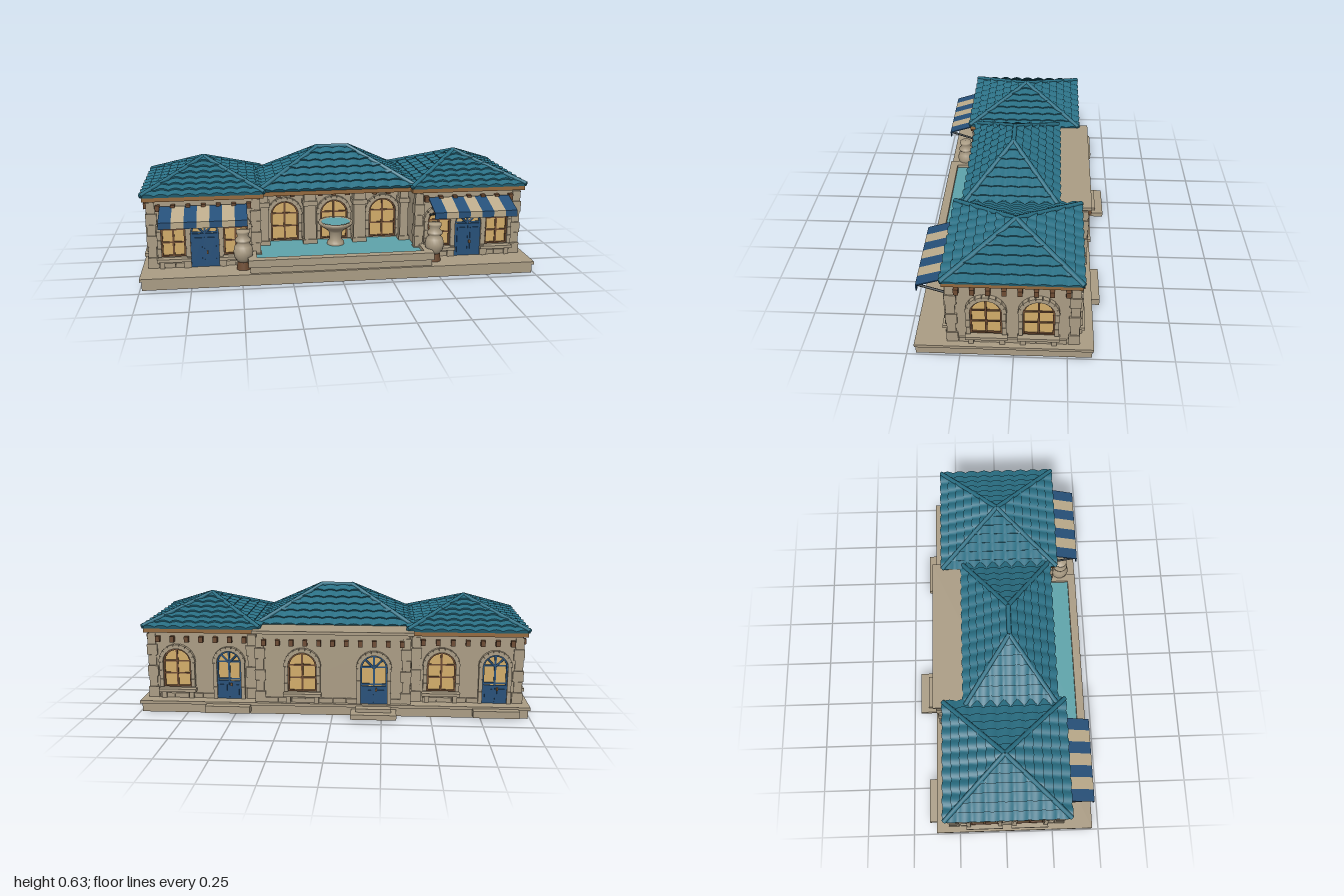
import * as THREE from 'three';

const mat = (name, color, side = THREE.FrontSide) => {
  const m = new THREE.MeshStandardMaterial({ color, side });
  m.name = name;
  return m;
};
const stone = mat('stone', 0xaa9c84), tile = mat('roofTile', 0x2a7085, THREE.DoubleSide);
const water = mat('water', 0x5ea3aa), blue = mat('bluePaint', 0x265079);
const cream = mat('creamCloth', 0xbcab8b), glass = mat('warmGlass', 0xd2ac69);
const wood = mat('darkWood', 0x6d4b32), trim = mat('trimWood', 0x94693d);
const iron = mat('iron', 0x2b3337);

const V = (x, y, z) => new THREE.Vector3(x, y, z);

function add(parent, name, geo, material, x = 0, y = 0, z = 0) {
  const m = new THREE.Mesh(geo, material);
  m.name = name;
  m.position.set(x, y, z);
  parent.add(m);
  return m;
}
// Box given by its limits on each axis
function box(parent, name, material, x0, x1, y0, y1, z0, z1) {
  return add(parent, name, new THREE.BoxGeometry(x1 - x0, y1 - y0, z1 - z0), material,
    (x0 + x1) / 2, (y0 + y1) / 2, (z0 + z1) / 2);
}
function group(parent, name) {
  const g = new THREE.Group();
  g.name = name;
  parent.add(g);
  return g;
}
// Round bar between two points
function bar(parent, name, material, p, q, r) {
  const d = q.clone().sub(p);
  const m = add(parent, name, new THREE.CylinderGeometry(r, r, d.length(), 8), material);
  m.position.copy(p).add(q).multiplyScalar(0.5);
  m.quaternion.setFromUnitVectors(V(0, 1, 0), d.normalize());
}
function archShape(w, y0, top) {
  const r = w / 2, s = new THREE.Shape();
  s.moveTo(-r, y0).lineTo(r, y0).lineTo(r, top - r);
  s.absarc(0, top - r, r, 0, Math.PI, false);
  return s.closePath();
}
const plate = (shape, depth) => new THREE.ExtrudeGeometry(shape, { depth, bevelEnabled: false, curveSegments: 10 });

// Arched window or door with a voussoir surround, facing +z
function opening(parent, { x, w = 0.145, y0 = 0.12, top = 0.325, door = '' }) {
  const g = group(parent, door ? 'door' : 'window');
  g.position.x = x;
  const r = w / 2, spring = top - r, paint = door ? blue : wood;
  add(g, 'pane', plate(archShape(w, y0, top), 0.004), glass);
  const rim = archShape(w, y0, top);
  rim.holes.push(archShape(w - 0.016, y0 + 0.008, top - 0.008));
  add(g, 'frame', plate(rim, 0.012), paint);
  box(g, 'mullion', paint, -0.005, 0.005, y0, top, 0, 0.01);
  for (const y of [y0 + (spring - y0) * 0.55, spring + 0.006]) box(g, 'glazingBar', paint, -r, r, y - 0.004, y + 0.004, 0, 0.009);
  if (door) {
    const leafTop = door === 'solid' ? spring : y0 + (spring - y0) * 0.5;
    for (const s of [-1, 1]) {
      box(g, 'leaf', blue, s > 0 ? 0.002 : -r, s > 0 ? r : -0.002, y0, leafTop, 0, 0.012);
      box(g, 'leafPanel', blue, s * r / 2 - r * 0.3, s * r / 2 + r * 0.3, y0 + 0.02, leafTop - 0.02, 0.01, 0.017);
      bar(g, 'fanSpoke', blue, V(0, spring, 0.006), V(s * r * 0.7, spring + r * 0.7, 0.006), 0.005);
    }
    box(g, 'handle', trim, 0.008, 0.016, y0 + 0.07, y0 + 0.085, 0.012, 0.024);
  } else {
    // Sill on two brackets
    box(g, 'sill', stone, -r - 0.025, r + 0.025, y0 - 0.024, y0 - 0.008, 0, 0.035);
    for (const s of [-1, 1]) box(g, 'sillBracket', stone, s * r - 0.012, s * r + 0.012, 0.06, y0 - 0.02, 0, 0.022);
  }
  // Jamb stones and arch stones
  for (const s of [-1, 1]) for (let i = 0; i < 3; i++) {
    const h = (spring - y0) / 3, y = y0 + i * h;
    box(g, 'jambStone', stone, s * (r + 0.01) - 0.01, s * (r + 0.01) + 0.01, y + 0.001, y + h - 0.001, 0, 0.022);
  }
  const n = 9, step = Math.PI / n;
  for (let i = 0; i < n; i++) {
    const a = (i + 0.5) * step, R = r + 0.011;
    const b = add(g, 'archStone', new THREE.BoxGeometry(0.022, R * step, 0.022), stone,
      Math.cos(a) * R, spring + Math.sin(a) * R, 0.011);
    b.rotation.z = a;
  }
}
// Wall face dressing: dentils, plinth blocks and openings
function facade(parent, name, x, z, rot, width, openings) {
  const g = group(parent, name);
  g.position.set(x, 0, z);
  g.rotation.y = rot;
  const n = Math.round(width / 0.072);
  for (let i = 0; i <= n; i++) {
    const u = -width / 2 + (i * width) / n;
    box(g, 'dentil', wood, u - 0.011, u + 0.011, 0.36, 0.39, 0, 0.024);
  }
  const doors = openings.filter((o) => o.door);
  for (let i = 0; i < n; i++) {
    const u = -width / 2 + ((i + 0.5) * width) / n, half = width / n / 2 - 0.001;
    if (doors.some((o) => Math.abs(o.x - u) < o.w / 2 + half)) continue;
    box(g, 'plinthBlock', stone, u - half, u + half, 0.06, 0.084, 0, 0.01);
  }
  openings.forEach((o) => opening(g, o));
}
function quoin(parent, x, z, sx, sz) {
  for (let i = 0; i < 6; i++) {
    const s = i % 2 ? 0.042 : 0.054, o = i % 2 ? 0.007 : 0.011, y = 0.06 + i * 0.057;
    const cx = x + sx * (o - s / 2), cz = z + sz * (o - s / 2);
    box(parent, 'quoinStone', stone, cx - s / 2, cx + s / 2, y + 0.001, y + 0.056, cz - s / 2, cz + s / 2);
  }
}
// One roof slope (eave a-b, ridge d-c) covered in stepped barrel tiles
function slope(parent, a, b, c, d) {
  const u = b.clone().sub(a), W = u.length();
  u.normalize();
  const ad = d.clone().sub(a), bc = c.clone().sub(b);
  const v = ad.clone().addScaledVector(u, -ad.dot(u)), L = v.length();
  v.normalize();
  const n = u.clone().cross(v), rows = Math.round(L / 0.05), cols = Math.round(W / 0.07), N = cols * 6;
  const pos = [], idx = [];
  const line = (t, lift, bump) => {
    const lo = (ad.dot(u) * t) / L, hi = W + (bc.dot(u) * t) / L;
    for (let k = 0; k <= N; k++) {
      const s = Math.min(Math.max((W * k) / N, lo), hi);
      const h = lift + bump * Math.abs(Math.sin((Math.PI * s * cols) / W));
      pos.push(...a.clone().addScaledVector(u, s).addScaledVector(v, t).addScaledVector(n, h));
    }
  };
  const strip = (base) => {
    for (let k = 0; k < N; k++) {
      const p = base + k, q = p + N + 1;
      idx.push(p, p + 1, q + 1, p, q + 1, q);
    }
  };
  for (let r = 0; r < rows; r++) {
    const t0 = (r * L) / rows, t1 = ((r + 1) * L) / rows, base = pos.length / 3;
    line(t0, -0.003, 0);
    line(t0, 0.007, 0.012);
    line(t0, 0.007, 0.012);
    line(t1, 0, 0.009);
    strip(base);
    strip(base + 2 * (N + 1));
  }
  const geo = new THREE.BufferGeometry();
  geo.setAttribute('position', new THREE.Float32BufferAttribute(pos, 3));
  geo.setIndex(idx);
  geo.computeVertexNormals();
  add(parent, 'tiledSlope', geo, tile);
}
function hipRoof(parent, name, x0, x1, z0, z1, y, top, ridge, rz) {
  const g = group(parent, name), cx = (x0 + x1) / 2;
  const A = V(x0, y, z1), B = V(x1, y, z1), C = V(x1, y, z0), D = V(x0, y, z0);
  const P = V(cx - ridge, top, rz), Q = V(cx + ridge, top, rz);
  slope(g, A, B, Q, P);
  slope(g, B, C, Q, Q);
  slope(g, C, D, P, Q);
  slope(g, D, A, P, P);
  for (const [p, q] of [[A, P], [D, P], [B, Q], [C, Q]]) bar(g, 'hipTile', tile, p.clone().setY(y + 0.01), q.clone().setY(top + 0.006), 0.012);
  if (ridge) bar(g, 'ridgeTile', tile, P.clone().setY(top + 0.004), Q.clone().setY(top + 0.004), 0.012);
}
const lathe = (pts) => new THREE.LatheGeometry(pts.map(([r, y]) => new THREE.Vector2(r, y)), 20);

export function createModel() {
  const model = new THREE.Group();
  model.name = 'villa';

  // Base slab and rear steps
  box(model, 'baseSlab', stone, -0.99, 0.99, 0, 0.045, -0.365, 0.457);
  box(model, 'baseTop', stone, -1, 1, 0.045, 0.06, -0.372, 0.462);
  box(model, 'rearStepLow', stone, -0.325, -0.095, 0.01, 0.035, -0.462, -0.36);
  box(model, 'rearStepHigh', stone, -0.3, -0.12, 0.03, 0.052, -0.418, -0.36);
  for (const x of [-0.825, 0.535]) box(model, 'wingStep', stone, x - 0.115, x + 0.115, 0.014, 0.05, -0.412, -0.36);

  // Two wings
  for (const s of [1, -1]) {
    const wing = group(model, s > 0 ? 'leftWing' : 'rightWing'), cx = s * 0.683;
    box(wing, 'wingWall', stone, cx - 0.275, cx + 0.275, 0.06, 0.412, -0.295, 0.3);
    box(wing, 'cornice', trim, cx - 0.3, cx + 0.3, 0.408, 0.432, -0.308, 0.318);
    for (const q of [-1, 1]) {
      quoin(wing, cx + q * 0.275, 0.3, q, 1);
      quoin(wing, cx + q * 0.275, -0.295, q, -1);
    }
    facade(wing, 'sideFace', cx + s * 0.275, 0.005, (s * Math.PI) / 2, 0.5, [{ x: 0.12 }, { x: -0.12 }]);
    facade(wing, 'frontFace', cx, 0.3, 0, 0.45, [
      { x: 0, w: 0.14, y0: 0.06, top: 0.305, door: 'solid' },
      { x: -0.155, w: 0.12, top: 0.315 }, { x: 0.155, w: 0.12, top: 0.315 }]);
    facade(wing, 'backFace', cx, -0.295, Math.PI, 0.45, [
      { x: 0.142, w: 0.125, y0: 0.06, top: 0.315, door: 'glazed' }, { x: -0.13 }]);
    hipRoof(wing, 'wingRoof', cx - 0.305, cx + 0.305, -0.312, 0.322, 0.432, 0.563, 0, 0);

    // Striped awning on iron arms
    const awning = group(wing, 'awning'), w = 0.43 / 7, tilt = Math.atan2(0.045, 0.14);
    for (let i = 0; i < 7; i++) {
      const x = cx + (i - 3) * w, cloth = i % 2 ? cream : blue;
      const top = add(awning, 'awningStripe', new THREE.BoxGeometry(w, 0.006, 0.147), cloth, x, 0.357, 0.379);
      top.rotation.x = tilt;
      box(awning, 'valance', cloth, x - w / 2, x + w / 2, 0.305, 0.338, 0.444, 0.45);
    }
    for (const q of [-1, 1]) bar(awning, 'awningArm', iron, V(cx + q * 0.205, 0.333, 0.445), V(cx + q * 0.205, 0.285, 0.3), 0.006);

    // Urn beside the pool
    const urn = group(model, 'urn');
    urn.position.set(s * 0.492, 0.06, 0.365);
    add(urn, 'urnFoot', new THREE.CylinderGeometry(0.03, 0.036, 0.04, 16), wood, 0, 0.02, 0);
    add(urn, 'urnBody', lathe([[0, 0.035], [0.028, 0.04], [0.044, 0.06], [0.05, 0.09], [0.043, 0.12], [0.03, 0.135],
      [0.04, 0.145], [0.04, 0.155], [0.026, 0.17], [0.034, 0.19], [0.034, 0.2], [0, 0.205]]), stone);
  }

  // Central block with flat rear roof
  const hall = group(model, 'centralHall');
  box(hall, 'hallWall', stone, -0.388, 0.388, 0.06, 0.425, -0.342, 0.1);
  box(hall, 'flatRoof', stone, -0.41, 0.41, 0.42, 0.436, -0.364, 0);
  box(hall, 'porchCornice', trim, -0.4, 0.4, 0.408, 0.432, -0.19, 0.278);
  for (const s of [-1, 1]) quoin(hall, s * 0.388, -0.342, s, -1);
  facade(hall, 'rearFace', 0, -0.342, Math.PI, 0.7, [
    { x: 0.21, w: 0.135, y0: 0.06, top: 0.315, door: 'glazed' }, { x: -0.155 }]);
  facade(hall, 'porchFace', 0, 0.1, 0, 0.74, [-0.265, 0, 0.265].map((x) => ({ x, top: 0.335 })));
  for (const x of [-0.375, -0.133, 0.133, 0.375]) {
    const h = Math.abs(x) > 0.3 ? 0.022 : 0.032;
    box(hall, 'pillar', stone, x - h, x + h, 0.06, 0.41, 0.1, 0.165);
    box(hall, 'pillarCapital', stone, x - h - 0.007, x + h + 0.007, 0.32, 0.345, 0.1, 0.173);
    box(hall, 'pillarFoot', stone, x - h - 0.006, x + h + 0.006, 0.06, 0.135, 0.1, 0.172);
  }
  hipRoof(hall, 'hallRoof', -0.405, 0.405, -0.2, 0.28, 0.432, 0.61, 0.08, 0.042);

  // Pool with raised rim and a bowl fountain
  const pool = group(model, 'pool');
  box(pool, 'poolWater', water, -0.43, 0.43, 0.06, 0.112, 0.1, 0.42);
  box(pool, 'poolFrontWall', stone, -0.46, 0.46, 0.06, 0.095, 0.41, 0.447);
  box(pool, 'poolFrontCap', stone, -0.47, 0.47, 0.092, 0.13, 0.412, 0.456);
  for (const s of [-1, 1]) {
    box(pool, 'poolSideWall', stone, s * 0.443 - 0.017, s * 0.443 + 0.017, 0.06, 0.095, 0.3, 0.42);
    box(pool, 'poolSideCap', stone, s * 0.448 - 0.022, s * 0.448 + 0.022, 0.092, 0.13, 0.3, 0.42);
  }
  const fountain = group(model, 'fountain');
  fountain.position.set(0, 0.11, 0.185);
  add(fountain, 'fountainBowl', lathe([[0.045, 0], [0.045, 0.015], [0.032, 0.03], [0.036, 0.07], [0.05, 0.085],
    [0.08, 0.105], [0.09, 0.115], [0.09, 0.128], [0.078, 0.128], [0.07, 0.115], [0, 0.112]]), stone);
  add(fountain, 'fountainWater', new THREE.CylinderGeometry(0.077, 0.07, 0.008, 20), water, 0, 0.121, 0);

  return model;
}
